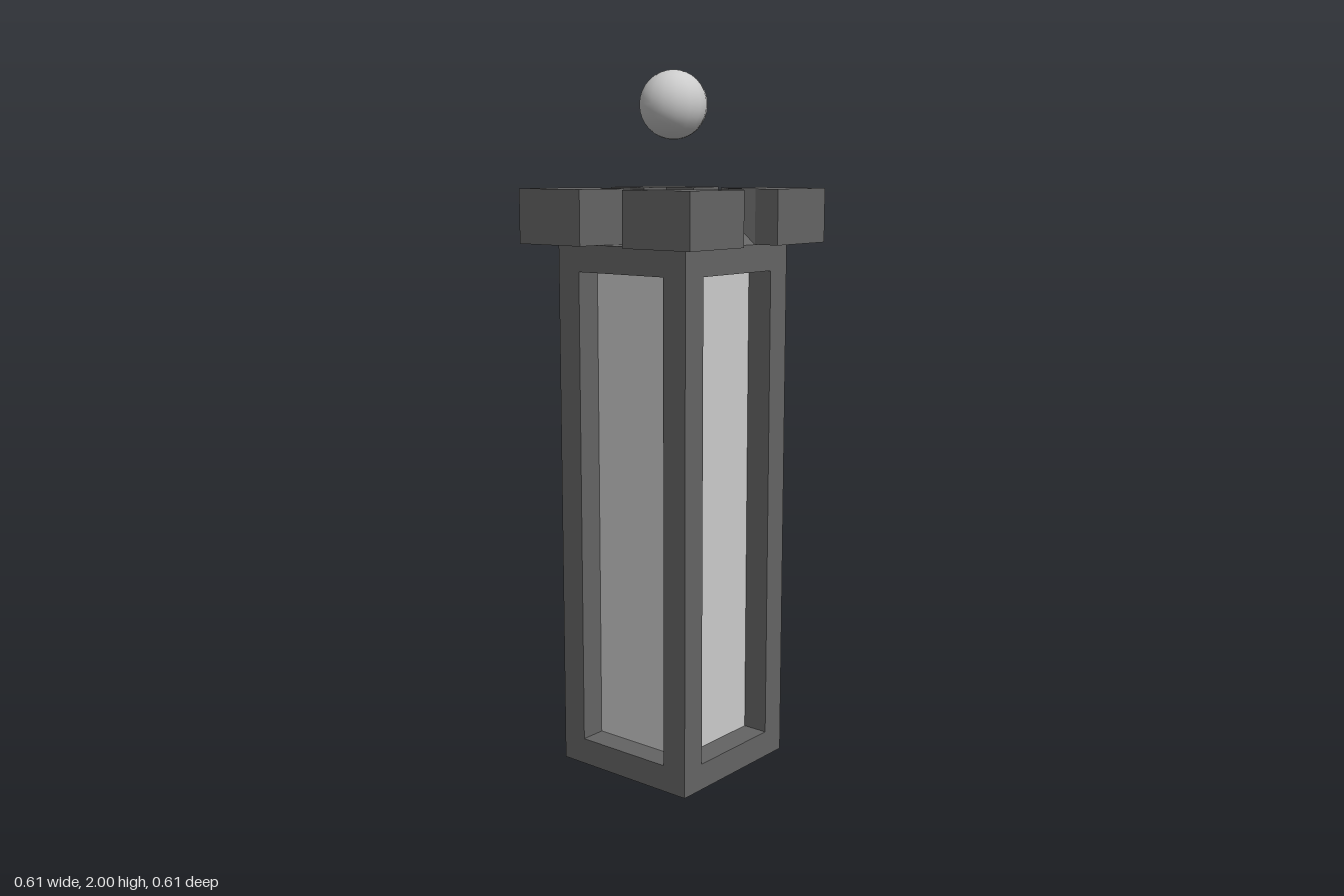
import * as THREE from 'three';

const U = 2 / 26.25; // module size that all parts are multiples of

export function createModel() {
  const model = new THREE.Group();
  model.name = 'lanternPillar';
  const dark = new THREE.MeshStandardMaterial({ color: 0x646464, flatShading: true });
  const light = new THREE.MeshStandardMaterial({ color: 0xcccccc });

  const add = (name, geometry, material, x = 0, y = 0, z = 0, parent = model) => {
    const mesh = new THREE.Mesh(geometry, material);
    mesh.name = name;
    mesh.position.set(x * U, y * U, z * U);
    parent.add(mesh);
    return mesh;
  };
  const box = (w, h, d) => new THREE.BoxGeometry(w * U, h * U, d * U);

  // Light core, recessed one unit behind the frame on every side
  add('core', box(4, 18, 4), light, 0, 10, 0);

  // Battlement block in plan, with a stepped inner corner and splayed sides
  const g = 2 / 3;
  const plan = [[4, 4], [1, 4], [1, 3], [g, 2], [2, 2], [2, g], [3, 1], [4, 1]];
  const blockShape = new THREE.Shape(plan.map(([x, y]) => new THREE.Vector2(x * U, y * U)));
  const blockGeometry = new THREE.ExtrudeGeometry(blockShape, { depth: 2 * U, bevelEnabled: false });
  blockGeometry.rotateX(-Math.PI / 2);

  // Each quarter: one post, a bottom and a top rail, one battlement block
  for (let i = 0; i < 4; i++) {
    const quarter = new THREE.Group();
    quarter.name = 'quarter' + (i + 1);
    quarter.rotation.y = i * Math.PI / 2;
    add('post', box(1, 20, 1), dark, 2.5, 10, 2.5, quarter);
    add('bottomRail', box(4, 1, 1), dark, 0, 0.5, 2.5, quarter);
    add('topRail', box(4, 1, 1), dark, 0, 19.5, 2.5, quarter);
    add('battlement', blockGeometry, dark, 0, 20, 0, quarter);
    model.add(quarter);
  }

  // Sloping wedge in the left gap, raised at one inner corner
  const wedge = new THREE.BufferGeometry();
  const corners = [3, 20, 1, 3, 20, -1, 2, 21, -g, 2, 20, g, 2, 20, -g].map((v) => v * U);
  wedge.setAttribute('position', new THREE.Float32BufferAttribute(corners, 3));
  wedge.setIndex([0, 1, 2, 0, 2, 3, 3, 2, 4]);
  wedge.computeVertexNormals();
  add('gapWedge', wedge, dark);

  // Ball floating above the top
  add('ball', new THREE.SphereGeometry(1.25 * U, 16, 16), light, 0, 25, 0);

  return model;
}
